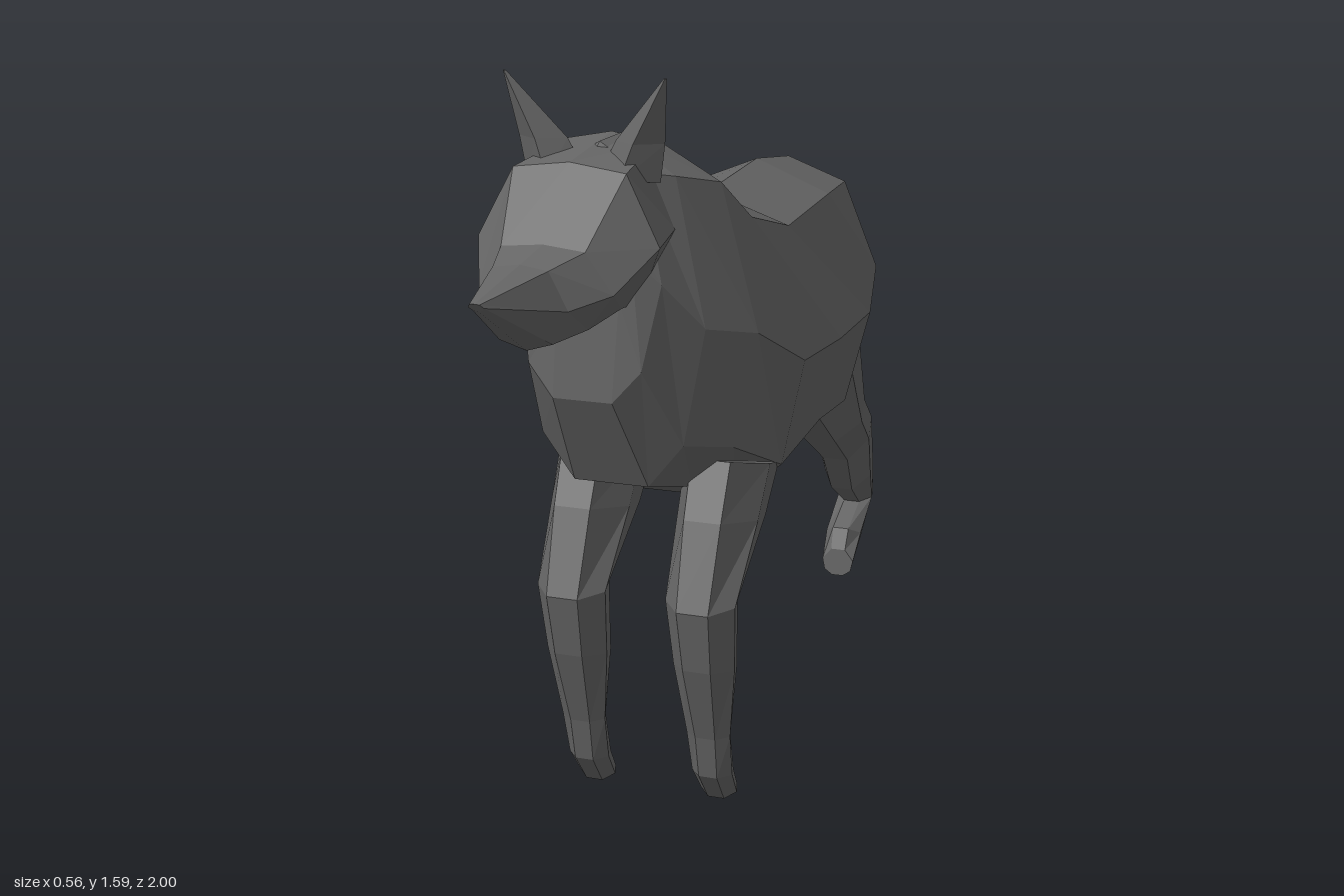
import * as THREE from 'three';

const fur = new THREE.MeshStandardMaterial({ color: 0x666666, flatShading: true });
fur.name = 'greyFur';

// Half cross-sections as [width factor, position from edge a (1) to edge b (0)]
const mirrored = (half) => [
  ...half,
  ...half.slice().reverse().filter(([x]) => x > 0).map(([x, t]) => [-x, t]),
];
const TORSO = mirrored([[0, 1], [0.62, 0.89], [1, 0.47], [0.8, 0.13], [0.42, 0]]);
const HEAD = mirrored([[0, 1], [0.62, 0.95], [1, 0.5], [0.6, 0.1], [0, 0]]);
const LIMB = mirrored([[0.45, 1], [1, 0.6], [0.85, 0.2], [0.35, 0]]);
const EAR = mirrored([[0, 1], [1, 0.4], [0, 0]]);

// Skin a row of rings: [az, ay, bz, by, half width, centre x]
function loft(name, section, rings) {
  const n = section.length;
  const pos = [];
  const index = [];
  for (const [az, ay, bz, by, w, cx = 0] of rings) {
    for (const [x, t] of section) {
      pos.push(cx + x * w, by + (ay - by) * t, bz + (az - bz) * t);
    }
  }
  for (let i = 0; i < rings.length - 1; i++) {
    for (let j = 0; j < n; j++) {
      const p = i * n + j;
      const q = i * n + ((j + 1) % n);
      index.push(p, p + n, q, p + n, q + n, q);
    }
  }
  const last = (rings.length - 1) * n;
  for (let j = 1; j < n - 1; j++) {
    index.push(0, j, j + 1, last, last + j + 1, last + j);
  }
  const indexed = new THREE.BufferGeometry();
  indexed.setAttribute('position', new THREE.Float32BufferAttribute(pos, 3));
  indexed.setIndex(index);
  const geo = indexed.toNonIndexed();
  geo.computeVertexNormals();
  const mesh = new THREE.Mesh(geo, fur);
  mesh.name = name;
  return mesh;
}

export function createModel() {
  const model = new THREE.Group();
  model.name = 'runningWolf';

  // Torso from the stub tail to the chest and neck
  model.add(loft('torso', TORSO, [
    [-0.905, 0.87, -0.9, 0.85, 0.012],
    [-0.82, 1.03, -0.79, 0.74, 0.15],
    [-0.71, 1.175, -0.66, 0.7, 0.23],
    [-0.42, 1.23, -0.42, 0.58, 0.275],
    [-0.04, 1.24, -0.18, 0.625, 0.278],
    [0.25, 1.34, 0.16, 0.625, 0.272, 0.005],
    [0.34, 1.43, 0.4, 0.74, 0.22, 0.005],
    [0.47, 1.465, 0.55, 0.79, 0.18, -0.02],
    [0.53, 1.46, 0.65, 0.99, 0.14, -0.04],
    [0.6, 1.4, 0.64, 1.15, 0.1, -0.05],
  ]));

  // Head turned slightly aside, with a wedge-shaped muzzle
  model.add(loft('head', HEAD, [
    [0.46, 1.465, 0.56, 1.13, 0.14, -0.04],
    [0.63, 1.44, 0.66, 1.15, 0.177, -0.063],
    [0.75, 1.315, 0.73, 1.14, 0.13, -0.072],
    [0.82, 1.295, 0.8, 1.13, 0.085, -0.088],
    [1, 1.272, 0.985, 1.255, 0.015, -0.1],
  ]));

  for (const [side, s] of [['left', 1], ['right', -1]]) {
    // Pointed ears, mirrored about the offset head
    model.add(loft(side + 'Ear', EAR, [
      [0.45, 1.38, 0.6, 1.4, 0.062, -0.05 + s * 0.07],
      [0.48, 1.46, 0.59, 1.47, 0.048, -0.05 + s * 0.095],
      [0.575, 1.592, 0.583, 1.592, 0.003, -0.05 + s * 0.155],
    ]));

    // Forelegs reaching down to the ground
    const x = s * 0.137;
    model.add(loft(side + 'Foreleg', LIMB, [
      [0.4, 0.8, 0.1, 0.7, 0.09, x],
      [0.46, 0.69, 0.19, 0.62, 0.085, x],
      [0.53, 0.52, 0.39, 0.52, 0.073, x],
      [0.5, 0.38, 0.37, 0.35, 0.065, x],
      [0.44, 0.2, 0.38, 0.2, 0.047, x],
      [0.42, 0.1, 0.34, 0.09, 0.044, x],
      [0.36, 0.02, 0.305, 0.04, 0.04, x],
      [0.3, 0.0, 0.288, 0.005, 0.01, x],
    ]));

    // Hind legs folded back, feet tucked forward
    model.add(loft(side + 'HindLeg', LIMB, [
      [-0.32, 0.66, -0.64, 0.82, 0.1, s * 0.13],
      [-0.52, 0.52, -0.73, 0.59, 0.085, x],
      [-0.69, 0.41, -0.87, 0.5, 0.07, x],
      [-0.77, 0.3, -0.94, 0.35, 0.06, x],
      [-0.89, 0.22, -1, 0.22, 0.045, x],
      [-0.77, 0.19, -0.86, 0.135, 0.045, x],
      [-0.745, 0.14, -0.74, 0.07, 0.04, x],
    ]));
  }
  return model;
}
